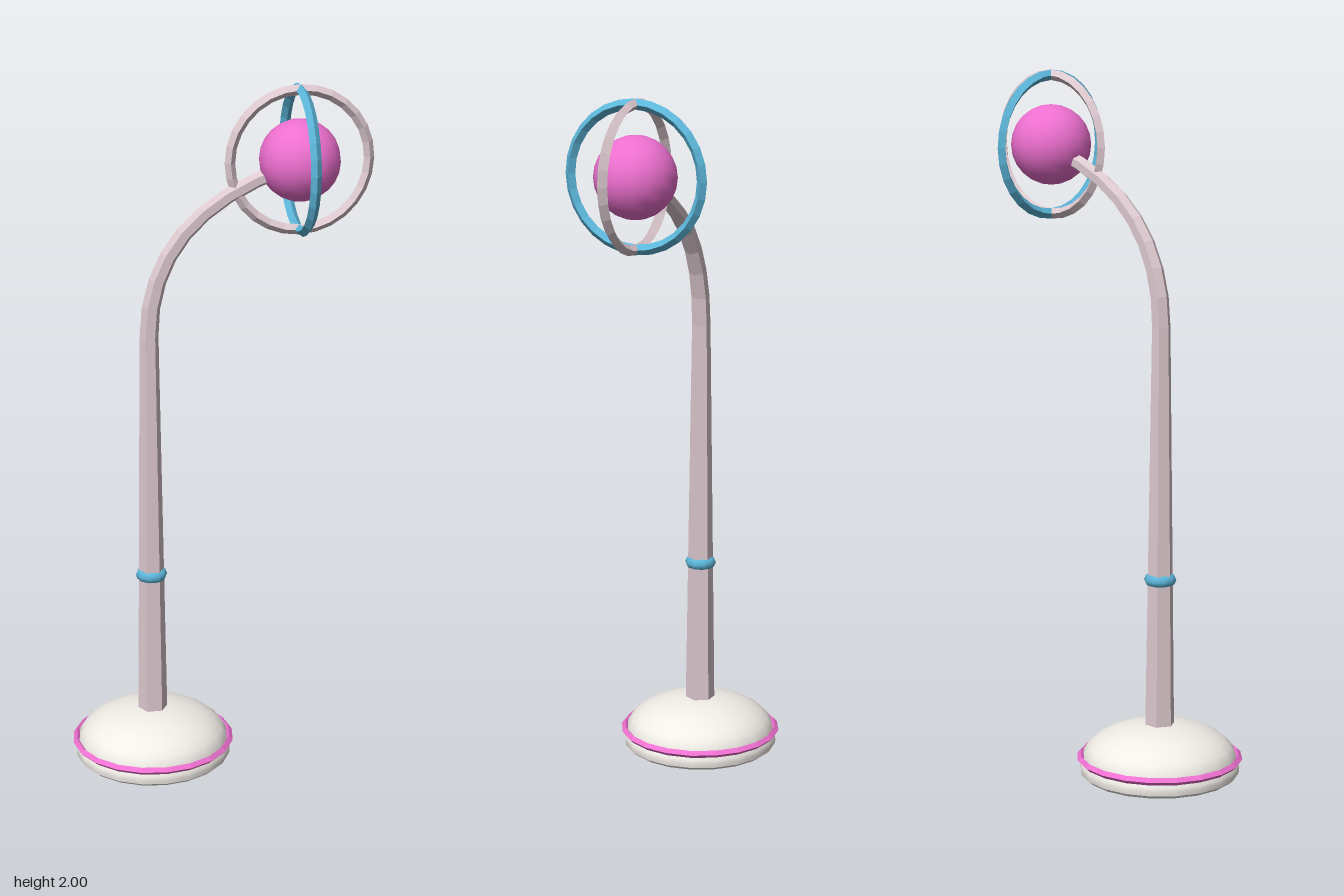
import * as THREE from 'three';
import { toCreasedNormals } from 'three/addons/utils/BufferGeometryUtils.js';

const STAND_X = -0.203;
const LAMP = new THREE.Vector3(0.226, 1.787, 0);

const material = (color, flatShading = false) => {
  const m = new THREE.MeshStandardMaterial({ color });
  m.flatShading = flatShading;
  return m;
};

function add(group, name, geometry, mat, x, y) {
  const mesh = new THREE.Mesh(geometry, mat);
  mesh.name = name;
  mesh.position.set(x, y, 0);
  group.add(mesh);
  return mesh;
}

// Tapered tube along a path in the xy plane; stations are {p, t, r}
function taperedTube(stations, sides) {
  const pos = [], index = [];
  for (const { p, t, r } of stations) {
    for (let j = 0; j < sides; j++) {
      const a = (j / sides) * Math.PI * 2;
      const n = r * Math.cos(a);
      pos.push(p.x + t.y * n, p.y - t.x * n, r * Math.sin(a));
    }
  }
  for (let i = 0; i < stations.length - 1; i++) {
    for (let j = 0; j < sides; j++) {
      const a = i * sides + j, b = i * sides + ((j + 1) % sides);
      index.push(a, a + sides, b, b, a + sides, b + sides);
    }
  }
  const g = new THREE.BufferGeometry();
  g.setAttribute('position', new THREE.Float32BufferAttribute(pos, 3));
  g.setIndex(index);
  g.computeVertexNormals();
  return g;
}

export function createModel() {
  const group = new THREE.Group();
  const cream = material(0xf0ece6);
  const mauve = material(0xdcc8ce, true);
  const pink = material(0xee70d0);
  const pinkFlat = material(0xee70d0, true);
  const blue = material(0x5cb6da);
  const blueFlat = material(0x5cb6da, true);

  // Base: bevelled foot disc, shallow dome and trim ring
  const foot = [[0, 0], [0.216, 0], [0.228, 0.01], [0.23, 0.022], [0.229, 0.034], [0.22, 0.048], [0, 0.048]]
    .map(([r, y]) => new THREE.Vector2(r, y));
  add(group, 'baseFoot', toCreasedNormals(new THREE.LatheGeometry(foot, 20), 0.6), cream, STAND_X, 0);

  const dome = [];
  for (let i = 0; i <= 8; i++) {
    const a = (i / 8) * Math.PI / 2;
    dome.push(new THREE.Vector2(0.223 * Math.cos(a), 0.105 * Math.sin(a)));
  }
  add(group, 'baseDome', new THREE.LatheGeometry(dome, 20), cream, STAND_X, 0.048);

  add(group, 'baseTrim', new THREE.TorusGeometry(0.228, 0.011, 4, 20), pinkFlat, STAND_X, 0.053)
    .rotation.x = Math.PI / 2;

  // Six-sided post that tapers and bends over into the lamp
  const bend = new THREE.QuadraticBezierCurve(
    new THREE.Vector2(STAND_X, 1.3), new THREE.Vector2(STAND_X, 1.65), new THREE.Vector2(0.2, 1.77));
  const stations = [{ p: new THREE.Vector2(STAND_X, 0.1), t: new THREE.Vector2(0, 1), r: 0.044 }];
  for (let i = 0; i <= 8; i++) {
    const u = i / 8;
    stations.push({ p: bend.getPoint(u), t: bend.getTangent(u), r: 0.027 - 0.006 * u });
  }
  add(group, 'post', taperedTube(stations, 6), mauve, 0, 0);

  // Collar around the post
  add(group, 'postCollar', new THREE.TorusGeometry(0.028, 0.018, 8, 10), blue, STAND_X, 0.577)
    .rotation.x = Math.PI / 2;

  // Globe with two crossed rings
  add(group, 'globe', new THREE.SphereGeometry(0.115, 16, 12), pink, LAMP.x, LAMP.y);
  const ring = new THREE.TorusGeometry(0.198, 0.015, 4, 28);
  add(group, 'frontRing', ring, mauve, LAMP.x, LAMP.y);
  add(group, 'sideRing', ring, blueFlat, LAMP.x, LAMP.y).rotation.y = Math.PI / 2;

  return group;
}
